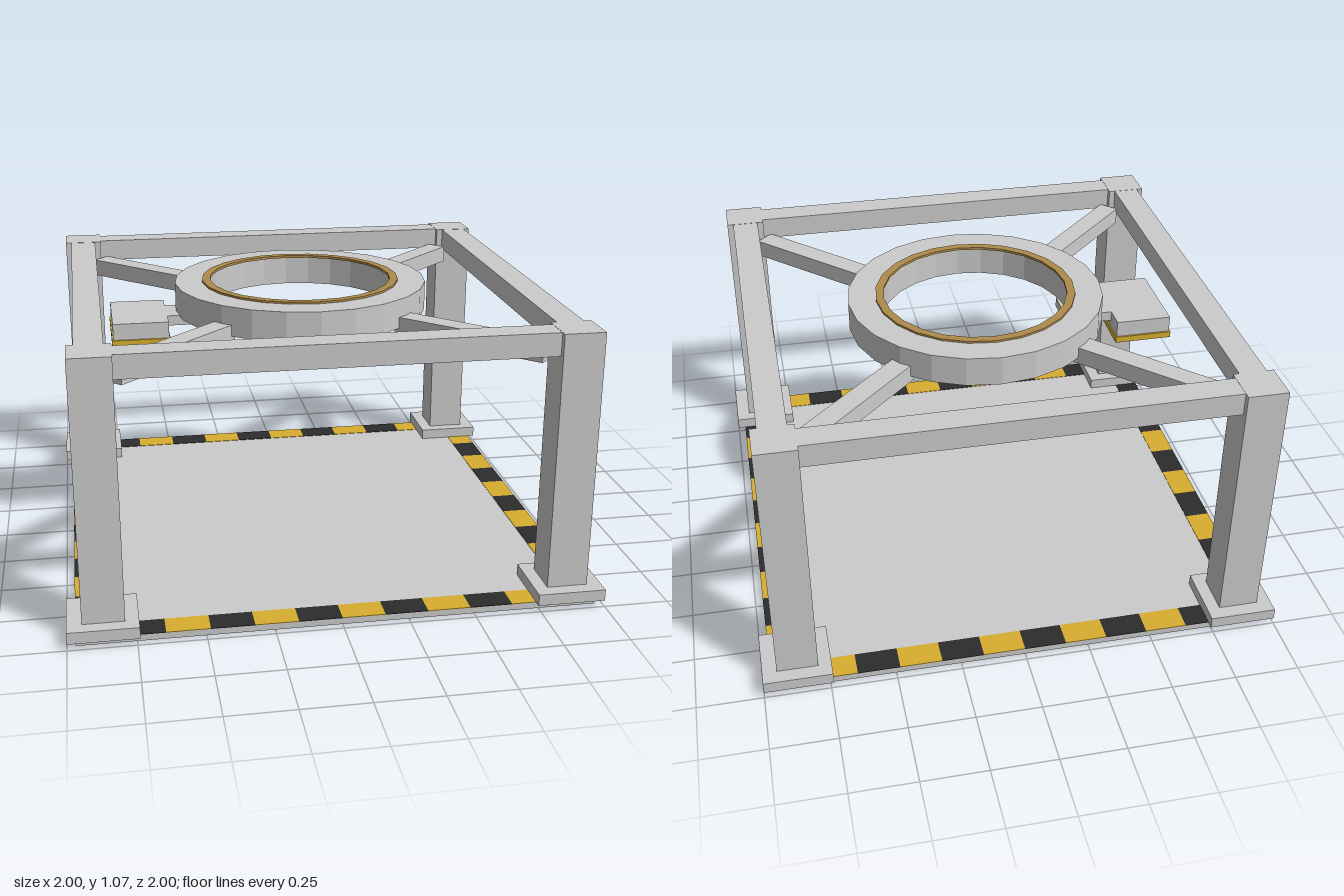
import * as THREE from 'three';

const mat = (color) => new THREE.MeshStandardMaterial({ color, flatShading: true });

export function createModel() {
  const model = new THREE.Group();
  const grey = mat(0xcccccc), yellow = mat(0xd8ae30), black = mat(0x2c2c2c), bronze = mat(0xae8b4b);

  // Box given by its min and max on each axis
  const box = (name, [x0, x1], [y0, y1], [z0, z1], material = grey, parent = model) => {
    const mesh = new THREE.Mesh(new THREE.BoxGeometry(x1 - x0, y1 - y0, z1 - z0), material);
    mesh.position.set((x0 + x1) / 2, (y0 + y1) / 2, (z0 + z1) / 2);
    mesh.name = name;
    parent.add(mesh);
    return mesh;
  };

  // Ring with a rectangular section
  const ring = (name, inner, outer, y0, y1, sides, material) => {
    const section = [[inner, y0], [outer, y0], [outer, y1], [inner, y1], [inner, y0]];
    const geo = new THREE.LatheGeometry(section.map(([r, y]) => new THREE.Vector2(r, y)), sides);
    const mesh = new THREE.Mesh(geo, material);
    mesh.name = name;
    model.add(mesh);
  };

  // Floor plate
  const half = 0.97, floorTop = 0.024;
  box('floorPlate', [-half, half], [0, floorTop], [-half, half]);

  // Hazard stripes along the four floor edges
  const stripes = new THREE.Group();
  stripes.name = 'hazardStripes';
  model.add(stripes);
  const count = 12, step = (2 * half) / count, band = 0.1;
  const layer = [floorTop, floorTop + 0.002];
  for (const side of [-1, 1]) {
    const across = side > 0 ? [half - band, half] : [-half, band - half];
    for (let i = 0; i < count; i++) {
      const a = -half + i * step;
      const even = i % 2 === 0;
      box('edgeStripe', [a, a + step], layer, across, even ? yellow : black, stripes);
      // The side rows stop short of the corners
      if (i > 0 && i < count - 1) {
        box('sideStripe', across, layer, [a, a + step], even ? black : yellow, stripes);
      }
    }
  }

  // Corner legs, feet and diagonal struts
  for (let i = 0; i < 4; i++) {
    const corner = new THREE.Group();
    corner.name = 'corner';
    corner.rotation.y = (i * Math.PI) / 2;
    model.add(corner);
    box('foot', [0.74, 1], [0.025, 0.07], [0.74, 1], grey, corner);
    box('leg', [0.79, 0.945], [0.03, 1.065], [0.79, 0.945], grey, corner);
    const arm = new THREE.Group();
    arm.name = 'strutArm';
    arm.rotation.y = -Math.PI / 4;
    corner.add(arm);
    box('diagonalStrut', [0.485, 1.117], [0.92, 0.99], [-0.0425, 0.0425], grey, arm);

    // Top beam to the next leg
    box('topBeam', [0.815, 0.92], [0.975, 1.064], [-0.79, 0.79], grey, corner);
  }

  // Central ring with its thin rim
  ring('centralRing', 0.375, 0.51, 0.945, 1.062, 24, grey);
  ring('rimBand', 0.367, 0.4, 1.06, 1.07, 24, bronze);

  // Side unit held by a short bracket under the ring
  box('bracket', [-0.56, -0.358], [0.91, 0.95], [-0.08, 0.08]);
  box('sideUnit', [-0.77, -0.55], [0.885, 0.95], [-0.168, 0.168]);
  box('sideUnitPlate', [-0.775, -0.545], [0.86, 0.885], [-0.175, 0.175], yellow);

  return model;
}
